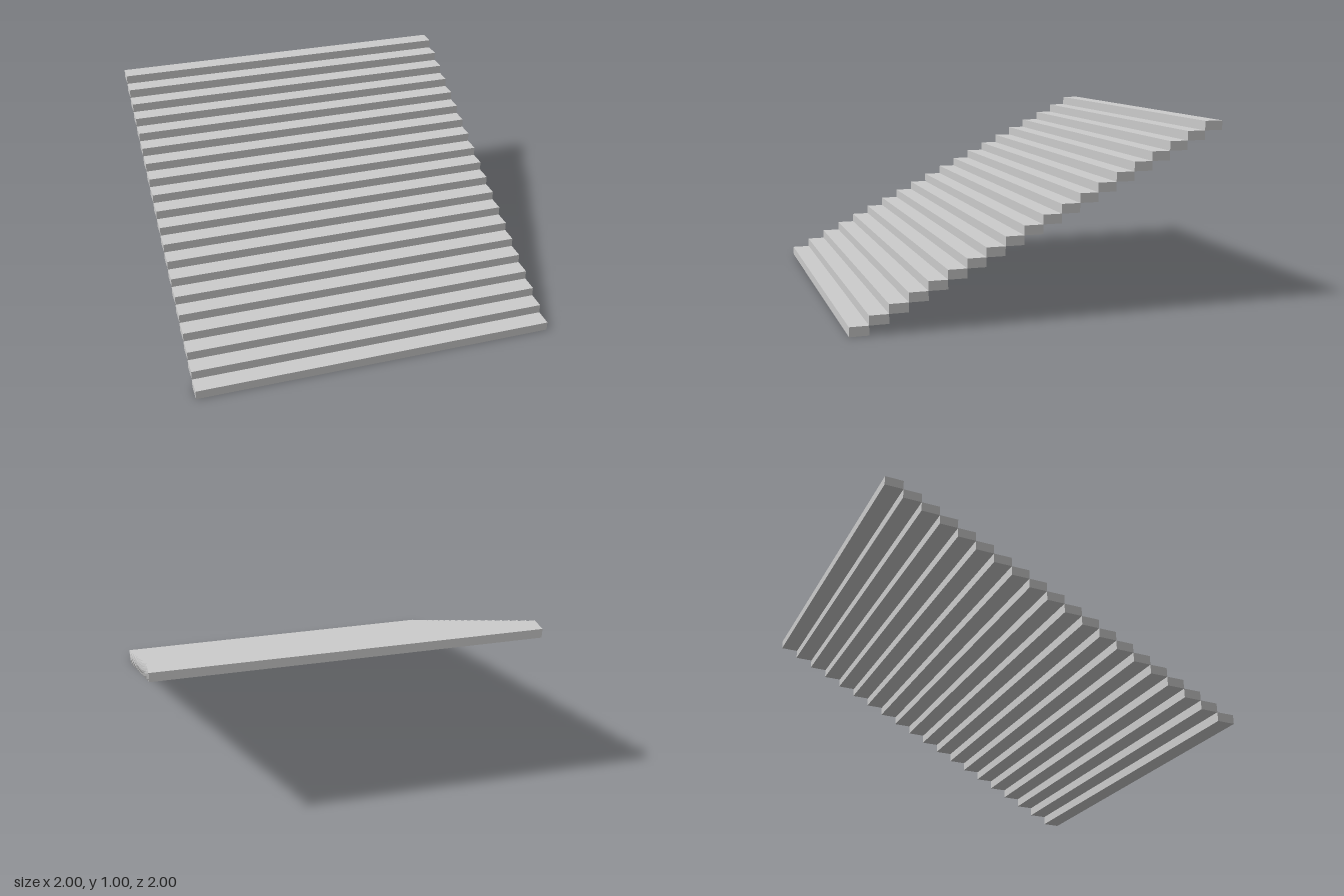
import * as THREE from 'three';

const STEPS = 20;
const WIDTH = 2;
const RISE = 0.05;
const RUN = 0.1;

export function createModel() {
  const staircase = new THREE.Group();
  staircase.name = 'staircase';

  const material = new THREE.MeshStandardMaterial({ color: 0xcccccc, flatShading: true });
  const stepGeometry = new THREE.BoxGeometry(WIDTH, RISE, RUN);

  // Solid steps meeting edge to edge, climbing from front to back
  for (let i = 0; i < STEPS; i++) {
    const step = new THREE.Mesh(stepGeometry, material);
    step.name = `step${i + 1}`;
    step.position.set(0, (i + 0.5) * RISE, (STEPS * RUN) / 2 - (i + 0.5) * RUN);
    staircase.add(step);
  }
  return staircase;
}
